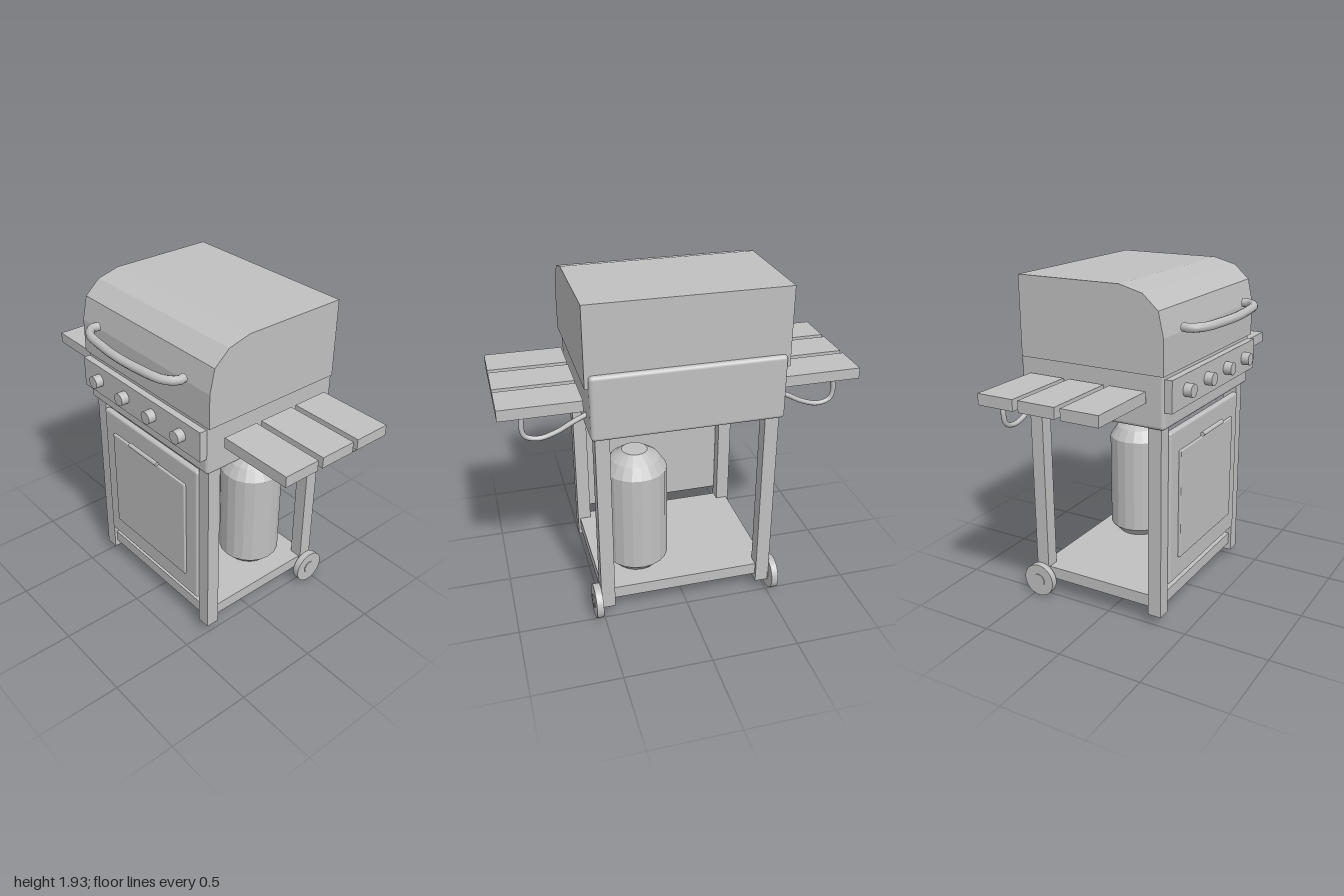
import * as THREE from 'three';
import { RoundedBoxGeometry } from 'three/addons/geometries/RoundedBoxGeometry.js';

export function createModel() {
  const model = new THREE.Group();
  model.name = 'gasGrill';
  const grey = new THREE.MeshStandardMaterial({ color: 0xc0c0c0 });
  grey.name = 'grey';

  const add = (name, geometry, x = 0, y = 0, z = 0) => {
    const mesh = new THREE.Mesh(geometry, grey);
    mesh.name = name;
    mesh.position.set(x, y, z);
    model.add(mesh);
    return mesh;
  };
  // Boxes given by their limits on each axis; r > 0 rounds the edges
  const box = (name, x0, x1, y0, y1, z0, z1, r = 0) => {
    const size = [x1 - x0, y1 - y0, z1 - z0];
    const geometry = r ? new RoundedBoxGeometry(...size, 3, r) : new THREE.BoxGeometry(...size);
    return add(name, geometry, (x0 + x1) / 2, (y0 + y1) / 2, (z0 + z1) / 2);
  };
  // Round bar through points, with closed ends
  const bar = (name, points, r) => {
    const pts = points.map(p => new THREE.Vector3(...p));
    const curve = new THREE.CatmullRomCurve3(pts, false, 'centripetal');
    add(name, new THREE.TubeGeometry(curve, 28, r, 10));
    for (const end of [0, 1]) {
      const cap = add(name + 'End', new THREE.CircleGeometry(r, 10));
      cap.position.copy(curve.getPoint(end));
      const dir = curve.getTangent(end).multiplyScalar(end ? 1 : -1);
      cap.quaternion.setFromUnitVectors(new THREE.Vector3(0, 0, 1), dir);
    }
  };

  // Lid: faceted side profile (z, y) extruded across the width
  const profile = [[0.385, 1.487], [0.385, 1.685], [0.355, 1.82], [0.265, 1.9], [0.13, 1.935], [-0.497, 1.935], [-0.497, 1.487]];
  const lidShape = new THREE.Shape(profile.map(([z, y]) => new THREE.Vector2(-z, y)));
  const lidGeometry = new THREE.ExtrudeGeometry(lidShape, { depth: 1.11, bevelEnabled: false });
  lidGeometry.translate(0, 0, -0.555).rotateY(Math.PI / 2);
  add('lid', lidGeometry);
  bar('lidHandle', [[-0.375, 1.712, 0.4], [-0.38, 1.712, 0.44], [-0.315, 1.712, 0.495], [-0.16, 1.712, 0.522],
    [0, 1.712, 0.532], [0.16, 1.712, 0.522], [0.315, 1.712, 0.495], [0.38, 1.712, 0.44], [0.375, 1.712, 0.4]], 0.025);

  // Firebox and control panel
  box('firebox', -0.535, 0.535, 1.19, 1.56, -0.523, 0.38, 0.022);
  box('controlPanel', -0.525, 0.525, 1.29, 1.468, 0.37, 0.42);
  for (const x of [-0.37, -0.123, 0.123, 0.37]) {
    add('knob', new THREE.CylinderGeometry(0.037, 0.037, 0.055, 24), x, 1.382, 0.44).rotation.x = Math.PI / 2;
  }

  // Bottom shelf and cabinet door
  box('bottomShelf', -0.5, 0.5, 0.115, 0.187, -0.475, 0.335);
  box('door', -0.432, 0.432, 0.245, 1.148, 0.325, 0.364, 0.014);
  box('doorPanel', -0.335, 0.335, 0.375, 1.02, 0.35, 0.378, 0.006);
  add('doorHandle', new THREE.CylinderGeometry(0.013, 0.013, 0.256, 12), 0, 1.056, 0.402).rotation.z = Math.PI / 2;

  // Mirrored parts: legs, wheels, side shelves and hooks
  for (const s of [-1, 1]) {
    const sideBox = (name, a, b, ...rest) => box(name, Math.min(s * a, s * b), Math.max(s * a, s * b), ...rest);
    sideBox('frontLeg', 0.433, 0.513, 0.07, 1.2, 0.272, 0.352);
    sideBox('backLeg', 0.433, 0.513, 0.07, 1.2, -0.492, -0.412);
    add('wheel', new THREE.CylinderGeometry(0.1, 0.1, 0.04, 32), s * 0.533, 0.105, -0.46).rotation.z = Math.PI / 2;
    add('wheelHub', new THREE.CylinderGeometry(0.04, 0.04, 0.05, 24), s * 0.533, 0.105, -0.46).rotation.z = Math.PI / 2;
    for (const z of [-0.333, -0.08, 0.174]) {
      sideBox('shelfSlat', 0.556, 1, 1.337, 1.4, z - 0.11, z + 0.11);
    }
    bar('shelfSupport', [[0.525, 1.292], [0.6, 1.258], [0.69, 1.21], [0.79, 1.183], [0.86, 1.205],
      [0.877, 1.26], [0.863, 1.34]].map(([x, y]) => [s * x, y, -0.385]), 0.014);
  }

  // Gas tank on the bottom shelf
  const tankProfile = [[0, 0.187], [0.13, 0.187], [0.185, 0.243], [0.185, 0.835], [0.14, 0.9], [0.074, 0.946], [0, 0.946]];
  const tank = new THREE.LatheGeometry(tankProfile.map(p => new THREE.Vector2(...p)), 20).toNonIndexed();
  tank.computeVertexNormals();
  add('gasTank', tank, 0.24, 0, -0.217);

  return model;
}
